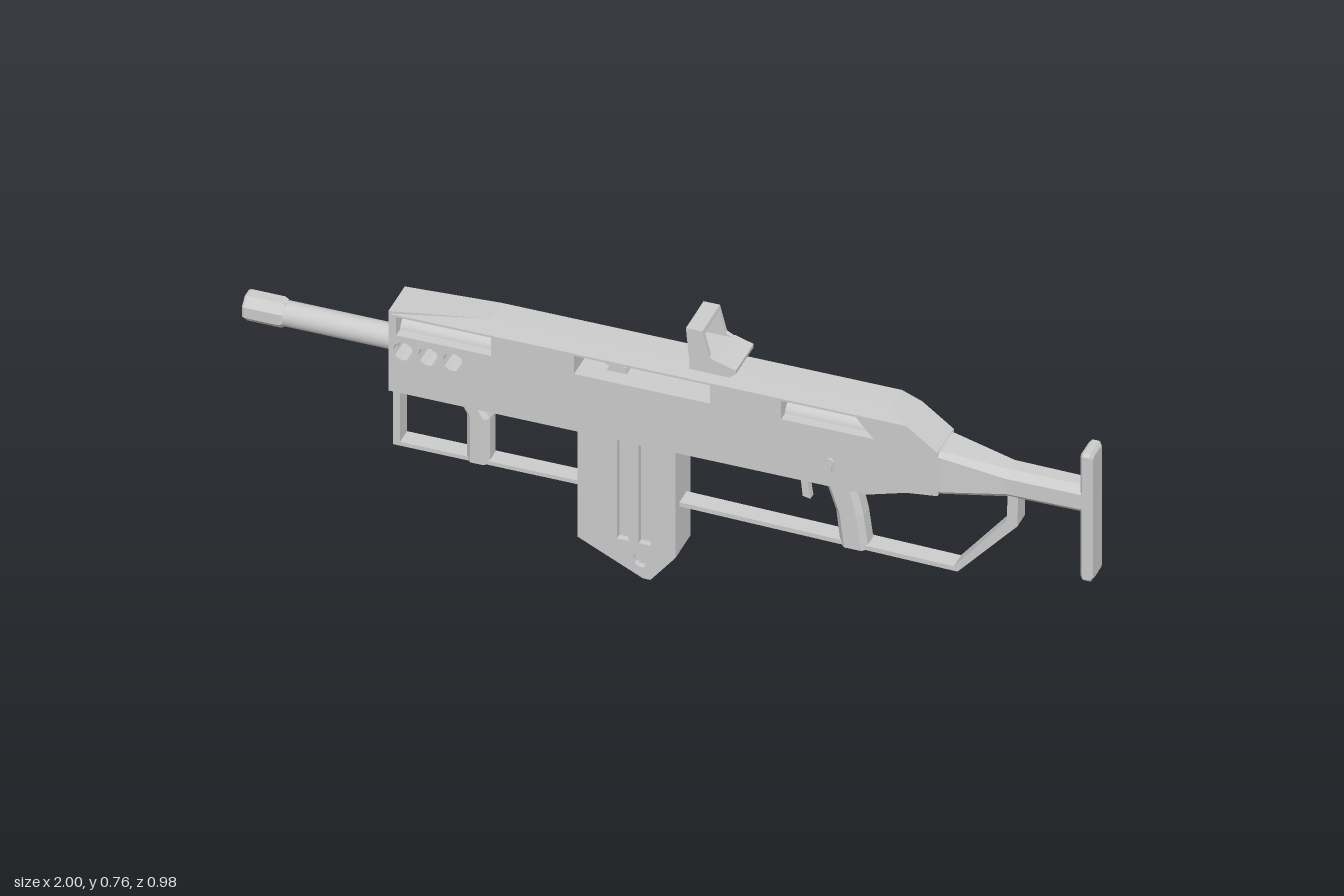
import * as THREE from 'three';

const flat = new THREE.MeshStandardMaterial({ color: 0xcccccc, flatShading: true, side: THREE.DoubleSide });
const smooth = new THREE.MeshStandardMaterial({ color: 0xcccccc });

// Everything is built lengthwise along x (muzzle at -x), then the whole is turned.
export function createModel() {
  const model = new THREE.Group();
  model.name = 'rifle';
  const gun = new THREE.Group();
  gun.name = 'rifleParts';
  gun.rotation.y = -0.438;
  model.add(gun);

  const add = (name, geo, mat = flat) => {
    const mesh = new THREE.Mesh(geo, mat);
    mesh.name = name;
    gun.add(mesh);
    return mesh;
  };
  const path = (pts) => pts.map(([x, y]) => new THREE.Vector2(x, y));

  // side profile extruded between two depths, with optional holes
  const slab = (name, pts, z0, z1, holes = []) => {
    const shape = new THREE.Shape(path(pts));
    shape.holes = holes.map((h) => new THREE.Path(h));
    const geo = new THREE.ExtrudeGeometry(shape, { depth: z1 - z0, bevelEnabled: false });
    geo.translate(0, 0, z0);
    return add(name, geo);
  };
  const rect = (x0, x1, y0, y1) => path([[x0, y0], [x1, y0], [x1, y1], [x0, y1]]);
  const circle = (x, y, r) => new THREE.Path().absarc(x, y, r, 0, Math.PI * 2).getPoints(5).slice(0, -1);

  // chamfered rectangle, counter-clockwise in (a, b)
  const octagon = (a, b, c) => [[a, -b + c], [a, b - c], [a - c, b], [-a + c, b],
    [-a, b - c], [-a, -b + c], [-a + c, -b], [a - c, -b]];
  // skin through rings of equal length, closed at both ends
  const loft = (name, rings) => {
    const n = rings[0].length, pos = [];
    const tri = (...ps) => ps.forEach((p) => pos.push(...p));
    for (let k = 0; k < rings.length - 1; k++) {
      for (let i = 0; i < n; i++) {
        const j = (i + 1) % n, a = rings[k], b = rings[k + 1];
        tri(a[i], a[j], b[j]);
        tri(a[i], b[j], b[i]);
      }
    }
    const first = rings[0], last = rings[rings.length - 1];
    for (let i = 1; i < n - 1; i++) {
      tri(first[0], first[i + 1], first[i]);
      tri(last[0], last[i], last[i + 1]);
    }
    const geo = new THREE.BufferGeometry();
    geo.setAttribute('position', new THREE.Float32BufferAttribute(pos, 3));
    geo.computeVertexNormals();
    return add(name, geo);
  };
  const ringX = (x, y, hy, hz, c) => octagon(hy, hz, c).map(([a, b]) => [x, y + a, b]);
  const ringY = (x, y, hx, hz, c) => octagon(hz, hx, c).map(([a, b]) => [x + b, y, a]);

  // receiver: windows and vent holes go through, the port is only on the far side
  const profile = [[-0.705, 0.39], [0.52, 0.39], [0.62, 0.42], [0.7, 0.43], [0.7, 0.555],
    [0.62, 0.615], [-0.705, 0.615]];
  const openings = [
    rect(-0.685, -0.442, 0.556, 0.609),
    rect(-0.23, 0.118, 0.556, 0.609),
    path([[0.3, 0.556], [0.537, 0.556], [0.49, 0.609], [0.3, 0.609]]),
    ...[-0.667, -0.603, -0.54].map((x) => circle(x, 0.513, 0.026)),
  ];
  slab('receiver', profile, -0.035, 0.055, openings);
  slab('portSide', profile, -0.055, -0.035, [...openings, rect(-0.225, 0.012, 0.475, 0.515)]);

  // roof with sloping shoulders
  const roof = slab('roof', [[-0.705, 0.615], [0.62, 0.615], [0.575, 0.65], [-0.45, 0.65],
    [-0.705, 0.622]], -0.055, 0.055);
  const rp = roof.geometry.attributes.position;
  for (let i = 0; i < rp.count; i++) if (rp.getY(i) > 0.63) rp.setZ(i, rp.getZ(i) * 0.65);
  roof.geometry.computeVertexNormals();

  // rods seen inside the end windows, and the cocking handle in the middle one
  for (const [x0, x1] of [[-0.69, -0.44], [0.3, 0.54]]) {
    const rod = new THREE.CylinderGeometry(0.03, 0.03, x1 - x0, 16, 1, false, 0, Math.PI);
    rod.rotateZ(Math.PI / 2);
    rod.translate((x0 + x1) / 2, 0.55, 0);
    add('innerRod', rod, flat);
  }
  slab('cockingHandle', [[-0.17, 0.55], [-0.11, 0.55], [-0.115, 0.572], [-0.135, 0.584],
    [-0.17, 0.584], [-0.165, 0.574], [-0.15, 0.568]], -0.012, 0.012);

  // barrel and hollow faceted muzzle
  const barrel = new THREE.CylinderGeometry(0.032, 0.032, 0.32, 20);
  barrel.rotateZ(Math.PI / 2);
  barrel.translate(-0.85, 0.51, 0);
  add('barrel', barrel, smooth);
  const muzzle = new THREE.LatheGeometry(path([[0, 0.985], [0.033, 0.985], [0.039, 0.995],
    [0.039, 1.082], [0.036, 1.088], [0.024, 1.088], [0.024, 1.03], [0, 1.03]]), 8);
  muzzle.rotateY(Math.PI / 8);
  muzzle.rotateZ(Math.PI / 2);
  muzzle.translate(0, 0.511, 0);
  add('muzzle', muzzle);

  // stock neck and butt plate
  loft('stockNeck', [
    ringX(0.64, 0.492, 0.063, 0.055, 0.004),
    ringX(0.71, 0.492, 0.061, 0.054, 0.012),
    ringX(0.87, 0.489, 0.04, 0.038, 0.018),
    ringX(1.065, 0.489, 0.039, 0.036, 0.018),
  ]);
  loft('buttPlate', [
    ringX(1.056, 0.445, 0.177, 0.03, 0.006),
    ringX(1.064, 0.445, 0.186, 0.038, 0.008),
    ringX(1.082, 0.445, 0.186, 0.038, 0.008),
    ringX(1.089, 0.445, 0.177, 0.03, 0.006),
  ]);

  // magazine: solid core between grooved side plates
  const magProfile = [[-0.222, 0.4], [-0.222, 0.08], [-0.055, 0], [-0.036, 0], [0.028, 0.08], [0.028, 0.4]];
  const grooves = [rect(-0.122, -0.092, 0.1, 0.388), rect(-0.066, -0.036, 0.1, 0.388),
    circle(-0.06, 0.052, 0.021)];
  slab('magazineCore', magProfile, -0.034, 0.034);
  slab('magazinePlateFront', magProfile, 0.034, 0.051, grooves);
  slab('magazinePlateBack', magProfile, -0.051, -0.034, grooves);

  // front guard, fore grip and pistol grip
  slab('frontGuard', [[-0.705, 0.395], [-0.705, 0.213], [-0.2, 0.213], [-0.2, 0.224],
    [-0.687, 0.224], [-0.687, 0.395]], -0.024, 0.024);
  loft('foreGrip', [
    ringY(-0.488, 0.214, 0.029, 0.031, 0.012),
    ringY(-0.488, 0.345, 0.029, 0.031, 0.012),
    ringY(-0.516, 0.395, 0.029, 0.031, 0.012),
  ]);
  loft('pistolGrip', [
    ringY(0.474, 0.204, 0.036, 0.032, 0.014),
    ringY(0.462, 0.3, 0.035, 0.032, 0.014),
    ringY(0.435, 0.395, 0.04, 0.032, 0.014),
  ]);
  slab('trigger', [[0.325, 0.4], [0.352, 0.4], [0.352, 0.35], [0.358, 0.308], [0.338, 0.312],
    [0.334, 0.35]], -0.01, 0.01);

  // long rear guard rising into the stock
  slab('rearGuard', [[0.02, 0.214], [0.74, 0.2], [0.893, 0.37], [0.895, 0.455], [0.868, 0.455],
    [0.866, 0.38], [0.73, 0.213], [0.02, 0.226]], -0.025, 0.025);

  // selector on the near side
  const dial = new THREE.CylinderGeometry(0.012, 0.012, 0.012, 12);
  dial.rotateX(Math.PI / 2);
  dial.translate(0.425, 0.462, 0.056);
  add('selectorDial', dial);
  slab('selectorLever', [[0.42, 0.43], [0.432, 0.434], [0.43, 0.462], [0.42, 0.462]], 0.05, 0.063);

  // reflex sight: base, two raked cheeks and a top bar
  slab('sightBase', [[0.068, 0.648], [0.17, 0.648], [0.186, 0.662], [0.186, 0.672], [0.14, 0.686],
    [0.066, 0.686]], -0.06, 0.06);
  for (const s of [-1, 1]) {
    slab('sightCheek', [[0.066, 0.68], [0.145, 0.68], [0.118, 0.695], [0.1, 0.765], [0.058, 0.765]],
      s * 0.054 - 0.006, s * 0.054 + 0.006);
  }
  slab('sightTop', [[0.059, 0.753], [0.103, 0.753], [0.1, 0.765], [0.058, 0.765]], -0.055, 0.055);

  return model;
}
